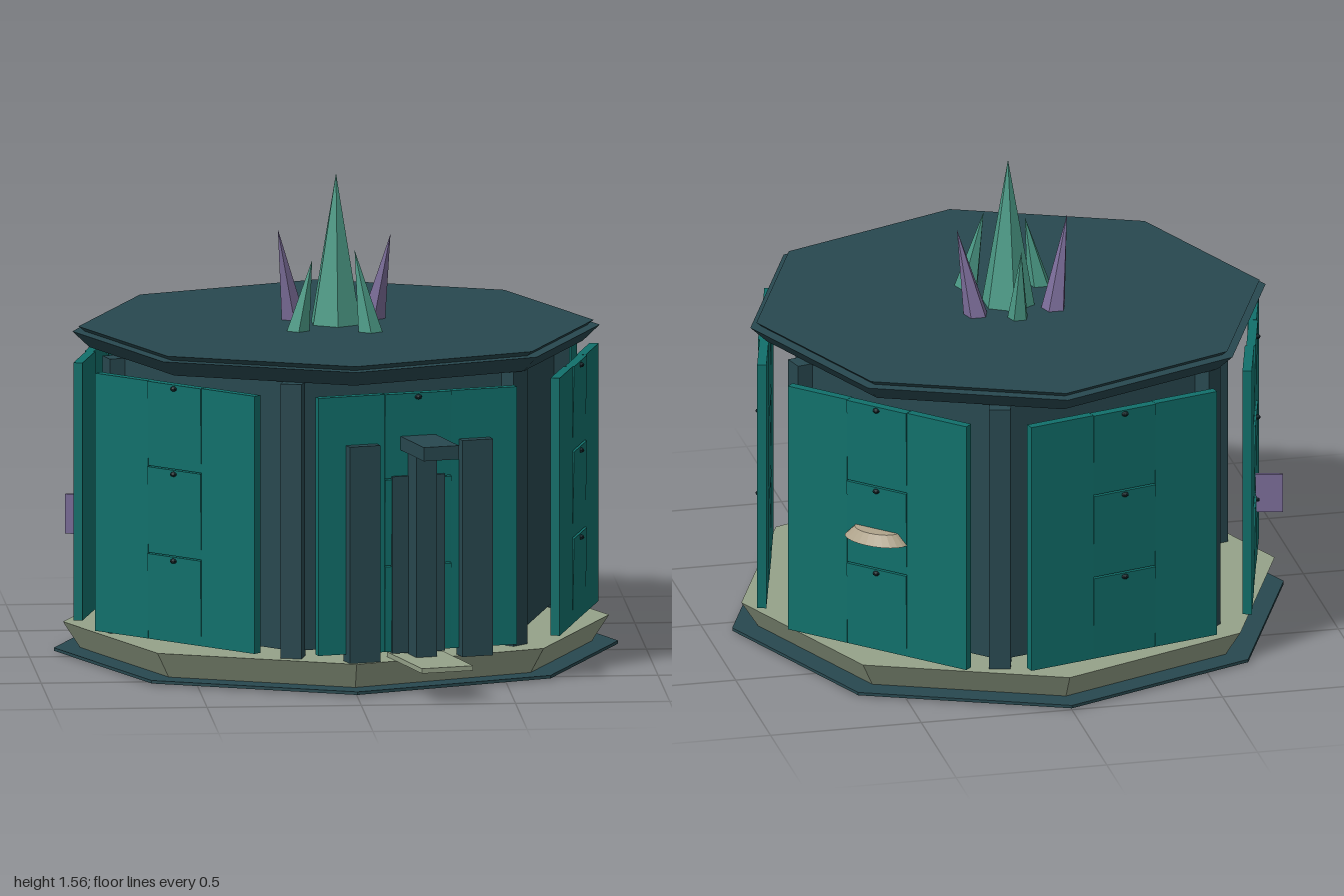
import * as THREE from 'three';

const mat = (name, color, extra = {}) => {
  const m = new THREE.MeshStandardMaterial({ color, flatShading: true, ...extra });
  m.name = name;
  return m;
};

export function createModel() {
  const slate = mat('slate', 0x28484f);
  const teal = mat('teal', 0x11706b);
  const pale = mat('paleStone', 0x95a289);
  const dark = mat('darkMetal', 0x13272b);
  const green = mat('greenCrystal', 0x4b9a86);
  const purple = mat('purpleCrystal', 0x7a6c98);
  const sand = mat('sand', 0xb0a48c);

  const model = new THREE.Group();
  model.name = 'pavilion';
  const root = new THREE.Group();
  root.name = 'building';
  root.position.z = -0.085;
  model.add(root);

  const add = (parent, name, geometry, material, x = 0, y = 0, z = 0) => {
    const mesh = new THREE.Mesh(geometry, material);
    mesh.name = name;
    mesh.position.set(x, y, z);
    parent.add(mesh);
    return mesh;
  };
  // Box given by its bottom and top heights
  const block = (parent, name, material, x, z, w, d, y0, y1) =>
    add(parent, name, new THREE.BoxGeometry(w, y1 - y0, d), material, x, (y0 + y1) / 2, z);
  // Polygonal slab with corners on the axes
  const slab = (name, material, rTop, rBottom, y0, y1, sides = 8) =>
    add(root, name, new THREE.CylinderGeometry(rTop, rBottom, y1 - y0, sides), material, 0, (y0 + y1) / 2, 0);
  // Group whose +z points outward at an angle from the front
  const bay = (name, degrees) => {
    const g = new THREE.Group();
    g.name = name;
    g.rotation.y = THREE.MathUtils.degToRad(degrees);
    root.add(g);
    return g;
  };

  // Octagonal plinth and roof
  slab('groundPlate', slate, 0.915, 0.915, 0.005, 0.015);
  slab('plinth', pale, 0.885, 0.82, 0, 0.1);
  slab('roofSlab', slate, 0.855, 0.80, 1.0, 1.052);
  slab('roofCap', slate, 0.835, 0.815, 1.052, 1.068);

  // Six-sided inner wall
  const wall = slab('innerWall', slate, 0.755, 0.755, 0.12, 1.0, 6);
  wall.rotation.y = THREE.MathUtils.degToRad(-15);

  // Six pillars and six cabinet walls between them
  const bays = [];
  for (let i = 0; i < 6; i++) {
    block(bay('pillarBay', -15 + 60 * i), 'pillar', slate, 0, 0.752, 0.07, 0.07, 0.1, 1.0);

    const b = bay('cabinetBay', 15 + 60 * i);
    bays.push(b);
    for (const s of [-1, 1]) block(b, 'cabinetPanel', teal, s * 0.227, 0.785, 0.226, 0.03, 0.125, 0.97);
    [[0.125, 0.405], [0.408, 0.69], [0.693, 0.97]].forEach(([y0, y1]) => {
      const drawer = block(b, 'drawer', teal, 0, 0.787, 0.226, 0.03, y0, y1);
      drawer.rotation.x = 0.02;
      const knob = add(b, 'knob', new THREE.SphereGeometry(0.012, 8, 6), dark, 0, y1 - 0.013, 0.805);
      knob.scale.y = 0.7;
    });
  }

  // Entrance with side posts, hood post, beam and ramp
  const entry = bays[0];
  for (const s of [-1, 1]) block(entry, 'doorPost', slate, s * 0.193, 0.805, 0.105, 0.06, 0.1, 0.81);
  block(entry, 'door', slate, 0, 0.8, 0.18, 0.02, 0.12, 0.7);
  block(entry, 'hoodPost', slate, 0, 0.845, 0.07, 0.08, 0.11, 0.785);
  block(entry, 'hoodBeam', slate, 0, 0.905, 0.12, 0.25, 0.785, 0.83);
  block(entry, 'ramp', pale, 0, 0.92, 0.175, 0.34, 0.1, 0.116);

  // Half-round shelf
  const shelf = add(bays[2], 'shelf',
    new THREE.CylinderGeometry(0.08, 0.115, 0.035, 12, 1, false, -Math.PI / 2, Math.PI), sand, 0, 0.528, 0.8);
  shelf.scale.z = 0.6;

  // Projecting sign plate
  block(bays[4], 'signPlate', purple, 0, 0.845, 0.012, 0.09, 0.35, 0.48);

  // Crystals: leaning pyramids from a base point to a tip
  const crystals = new THREE.Group();
  crystals.name = 'crystals';
  model.add(crystals);
  const crystal = (material, r, sides, base, tip) => {
    const h = tip[1] - 1.06;
    const geo = new THREE.ConeGeometry(r, h, sides);
    const p = geo.attributes.position;
    for (let i = 0; i < p.count; i++) {
      const t = p.getY(i) / h + 0.5;
      p.setX(i, p.getX(i) + (tip[0] - base[0]) * t);
      p.setZ(i, p.getZ(i) + (tip[2] - base[1]) * t);
    }
    geo.computeVertexNormals();
    add(crystals, 'crystal', geo, material, base[0], 1.06 + h / 2, base[1]);
  };
  crystal(green, 0.09, 6, [0, -0.09], [0, 1.56, -0.085]);
  crystal(purple, 0.042, 5, [-0.13, -0.175], [-0.185, 1.37, -0.13]);
  crystal(purple, 0.042, 5, [0.125, -0.175], [0.18, 1.35, -0.13]);
  crystal(green, 0.04, 5, [-0.135, 0.045], [-0.088, 1.3, 0.055]);
  crystal(green, 0.042, 5, [0.1, 0.08], [0.05, 1.33, 0.05]);
  crystal(green, 0.036, 5, [0, -0.23], [0, 1.31, -0.275]);

  return model;
}
